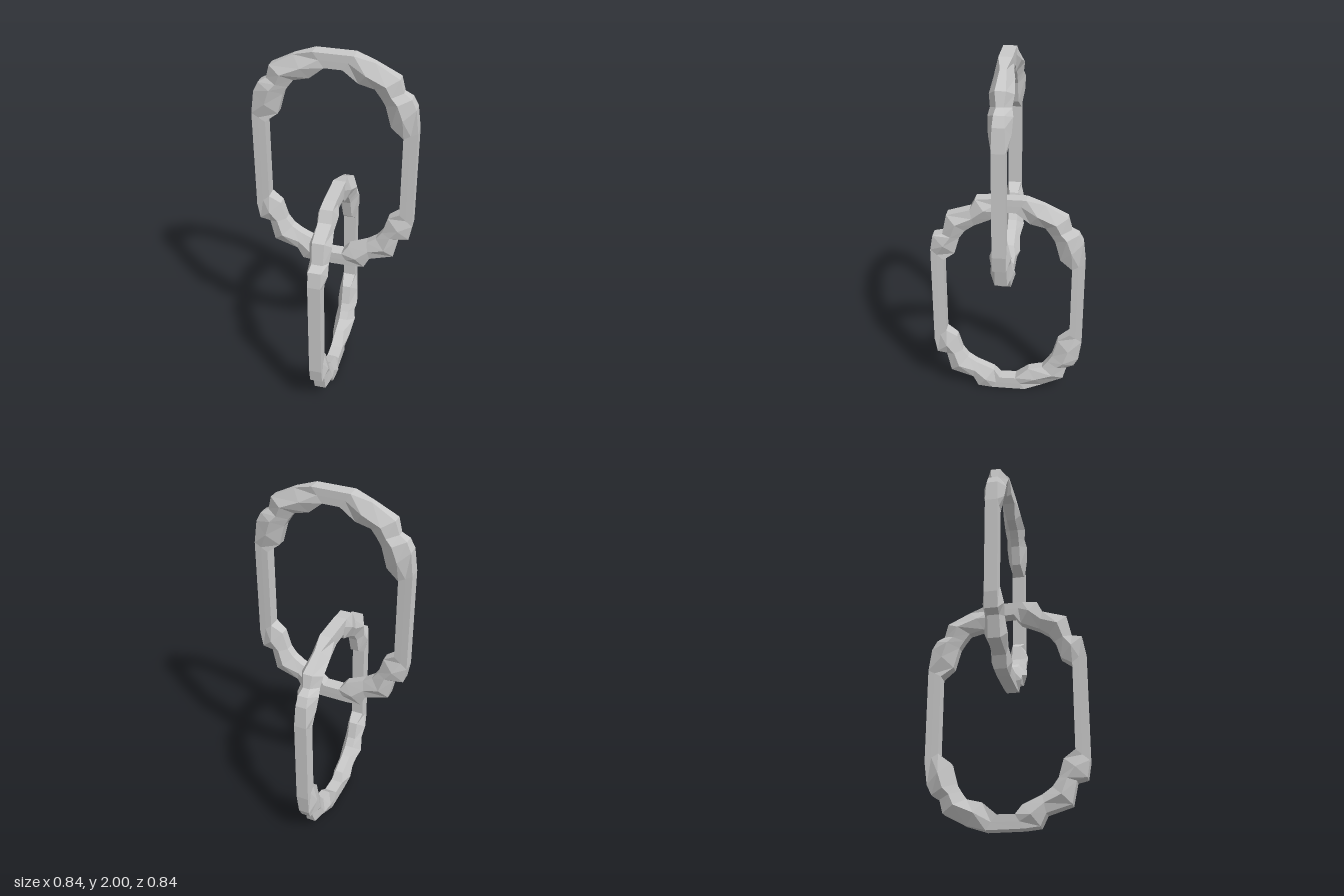
import * as THREE from 'three';

// Corner sections from the side bar to the end bar, d measured from the link's end:
// [outer x, outer d, inner x, inner d, half width at the middle, half width outside]
const ROUND = [
  [0.42, 0.36, 0.35, 0.40, 0.035, 0.034],
  [0.405, 0.24, 0.285, 0.35, 0.055, 0.03],
  [0.38, 0.19, 0.255, 0.24, 0.06, 0.026],
  [0.34, 0.165, 0.23, 0.20, 0.052, 0.018],
  [0.32, 0.095, 0.20, 0.16, 0.06, 0.026],
  [0.20, 0.03, 0.12, 0.14, 0.052, 0.016],
  [0.10, 0.0, 0.045, 0.075, 0.035, 0.034],
];
const STEPPED = [
  [0.42, 0.32, 0.35, 0.38, 0.035, 0.034],
  [0.405, 0.235, 0.29, 0.34, 0.055, 0.034],
  [0.352, 0.222, 0.262, 0.245, 0.05, 0.03],
  [0.327, 0.108, 0.23, 0.20, 0.06, 0.032],
  [0.20, 0.07, 0.18, 0.165, 0.046, 0.036],
  [0.17, 0.008, 0.08, 0.12, 0.055, 0.034],
  [0.09, 0.0, 0.045, 0.072, 0.035, 0.034],
];
const HALF_HEIGHT = 0.6125;

// A closed link of six-sided sections; corners run top +x, top -x, bottom -x, bottom +x
function makeLink(name, corners, material) {
  const signs = [[1, 1], [-1, 1], [-1, -1], [1, -1]];
  const positions = [];
  const indices = [];
  corners.forEach((corner, k) => {
    const [sx, sy] = signs[k];
    const rings = k % 2 ? [...corner].reverse() : corner;
    for (const [ox, od, ix, id, w, outer] of rings) {
      const x0 = ox * sx, y0 = (HALF_HEIGHT - od) * sy;
      const x1 = ix * sx, y1 = (HALF_HEIGHT - id) * sy;
      const xm = (x0 + x1) / 2, ym = (y0 + y1) / 2;
      const inner = w > 0.04 ? 0.024 : 0.035; // bulged sections narrow inward
      positions.push(
        x0, y0, outer, xm, ym, w, x1, y1, inner,
        x1, y1, -inner, xm, ym, -w, x0, y0, -outer
      );
    }
  });
  const count = positions.length / 18;
  for (let i = 0; i < count; i++) {
    const next = (i + 1) % count;
    for (let j = 0; j < 6; j++) {
      const a = i * 6 + j, b = i * 6 + (j + 1) % 6;
      const c = next * 6 + j, d = next * 6 + (j + 1) % 6;
      indices.push(a, c, b, b, c, d);
    }
  }
  const indexed = new THREE.BufferGeometry();
  indexed.setAttribute('position', new THREE.Float32BufferAttribute(positions, 3));
  indexed.setIndex(indices);
  const geometry = indexed.toNonIndexed(); // separate faces for flat facets
  geometry.computeVertexNormals();
  const mesh = new THREE.Mesh(geometry, material);
  mesh.name = name;
  return mesh;
}

export function createModel() {
  const steel = new THREE.MeshStandardMaterial({ color: 0xc8c8c8 });
  steel.name = 'light steel grey';

  const group = new THREE.Group();
  group.name = 'chain';

  // Upper link, facing the front
  const upper = makeLink('upperLink', [ROUND, ROUND, STEPPED, STEPPED], steel);
  upper.position.y = 2 - HALF_HEIGHT;

  // Lower link, turned a quarter so its +x side points forward
  const lower = makeLink('lowerLink', [STEPPED, ROUND, ROUND, STEPPED], steel);
  lower.rotation.y = -Math.PI / 2;
  lower.position.y = HALF_HEIGHT;

  group.add(upper, lower);
  return group;
}
